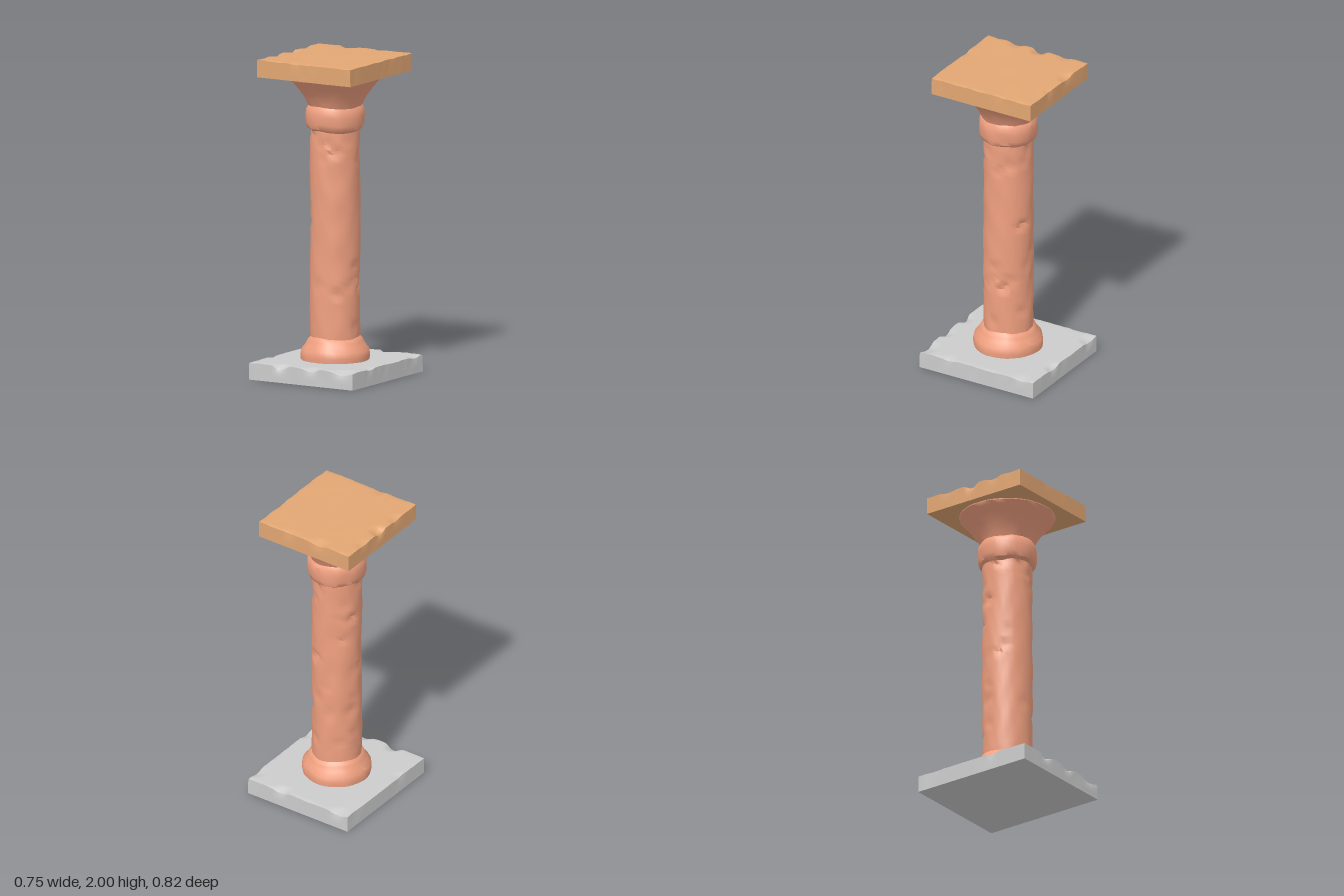
import * as THREE from 'three';
import { mergeVertices, toCreasedNormals } from 'three/addons/utils/BufferGeometryUtils.js';

// Small seeded random source
function seeded(seed) {
  let s = seed;
  return () => (s = (s * 16807) % 2147483647) / 2147483647;
}

// Smooth, repeatable unevenness in about -1..1
function noise(x, y, z) {
  return 0.5 * Math.sin(9 * x + 5 * y + 2 * Math.sin(7 * z)) +
    0.3 * Math.sin(17 * y - 13 * z + 2 * Math.sin(11 * x)) +
    0.2 * Math.sin(31 * z + 23 * x + 19 * y);
}

// Weld the vertices, move each by a rule, then shade with kept hard edges
function sculpt(geometry, rule, crease) {
  geometry.deleteAttribute('normal');
  geometry.deleteAttribute('uv');
  const welded = mergeVertices(geometry, 1e-4);
  const pos = welded.attributes.position;
  const v = new THREE.Vector3();
  for (let i = 0; i < pos.count; i++) {
    rule(v.fromBufferAttribute(pos, i));
    pos.setXYZ(i, v.x, v.y, v.z);
  }
  return toCreasedNormals(welded, crease);
}

// Stone slab whose upper rim is worn and chipped; chips are [x, z, radius, depth]
function slab(name, color, [x0, x1], [y0, y1], [z0, z1], chips) {
  const w = x1 - x0, h = y1 - y0, d = z1 - z0;
  const geometry = new THREE.BoxGeometry(w, h, d, 44, 4, 44);
  geometry.translate((x0 + x1) / 2, (y0 + y1) / 2, (z0 + z1) / 2);
  const rule = (v) => {
    const { x, y, z } = v;
    const t = (y - y0) / h;
    const edge = Math.min(x - x0, x1 - x, z - z0, z1 - z);
    const wear = 0.004 * Math.max(0, noise(x * 2, y, z * 2)) * t;
    // Worn sides
    if (x - x0 < 1e-4) v.x += wear;
    if (x1 - x < 1e-4) v.x -= wear;
    if (z - z0 < 1e-4) v.z += wear;
    if (z1 - z < 1e-4) v.z -= wear;
    // Worn top rim and gentle waviness
    if (t > 0.99) {
      v.y -= 0.001 * (1 + noise(x, 0, z));
      if (edge < 0.01) v.y -= 0.003 * (1 + noise(x * 3, 1, z * 3));
    }
    // Chips cut into the top and bevel the sides
    for (const [cx, cz, r, depth] of chips) {
      const k = 1 - Math.hypot(x - cx, z - cz) / r;
      if (k <= 0 || t < 0.5) continue;
      v.y -= depth * Math.min(1, k * 1.6) * (t - 0.5) * 2;
      if (edge < 1e-4) {
        const pull = depth * 0.5 * k * (t - 0.5) * 2;
        if (x - x0 < 1e-4) v.x += pull;
        if (x1 - x < 1e-4) v.x -= pull;
        if (z - z0 < 1e-4) v.z += pull;
        if (z1 - z < 1e-4) v.z -= pull;
      }
    }
  };
  const mesh = new THREE.Mesh(sculpt(geometry, rule, 0.6),
    new THREE.MeshStandardMaterial({ color }));
  mesh.name = name;
  return mesh;
}

// Round column: foot moulding, rough shaft, collar and flared capital
function column() {
  const rows = [
    [0, 0.1], [0.213, 0.1], [0.217, 0.135], [0.212, 0.17], [0.188, 0.2],
    [0.176, 0.225], [0.168, 0.238], [0.154, 0.25],
  ];
  for (let i = 1; i < 48; i++) rows.push([0.155, 0.25 + i * 1.295 / 48]);
  rows.push([0.154, 1.545], [0.172, 1.56], [0.181, 1.59], [0.182, 1.64], [0.179, 1.68],
    [0.166, 1.7], [0.184, 1.74], [0.215, 1.785], [0.25, 1.83], [0.282, 1.865],
    [0.298, 1.885], [0.298, 1.892], [0, 1.892]);
  const geometry = new THREE.LatheGeometry(rows.map(([r, y]) => new THREE.Vector2(r, y)), 40);

  // Scattered shallow nicks over the shaft
  const rand = seeded(71);
  const nicks = Array.from({ length: 46 }, () => ({
    a: rand() * Math.PI * 2, y: 0.22 + rand() * 1.42,
    w: 0.025 + rand() * 0.045, h: 0.018 + rand() * 0.035, depth: 0.004 + rand() * 0.008,
  }));
  const rule = (v) => {
    const r = Math.hypot(v.x, v.z);
    if (r > 0.01) {
      const a = Math.atan2(v.z, v.x);
      let offset = 0.004 * noise(v.x * 3, v.y * 1.3, v.z * 3);
      for (const n of nicks) {
        const da = Math.atan2(Math.sin(a - n.a), Math.cos(a - n.a)) * r;
        const k = 1 - Math.hypot(da / n.w, (v.y - n.y + da * 0.3) / n.h);
        if (k > 0) offset -= n.depth * Math.min(1, k * 2);
      }
      const scale = (r + offset) / r;
      v.x *= scale;
      v.z *= scale;
      // Uneven moulding lines
      if (v.y > 0.15 && v.y < 1.75) v.y += 0.006 * noise(v.x * 2, 0, v.z * 2);
    }
    v.x -= 0.006;
  };
  const mesh = new THREE.Mesh(sculpt(geometry, rule, 0.65),
    new THREE.MeshStandardMaterial({ color: 0xf0a080 }));
  mesh.name = 'column';
  return mesh;
}

export function createModel() {
  const group = new THREE.Group();
  group.name = 'pillar';
  group.add(
    slab('basePlinth', 0xcccccc, [-0.377, 0.377], [0, 0.109], [-0.41, 0.41], [
      [-0.15, 0.41, 0.06, 0.022], [0.07, 0.41, 0.06, 0.016], [0.3, 0.41, 0.09, 0.018],
      [-0.3, -0.41, 0.07, 0.014], [0.13, -0.41, 0.06, 0.016],
      [0.377, -0.32, 0.06, 0.01], [0.377, 0.2, 0.05, 0.008], [-0.377, 0.15, 0.05, 0.007],
    ]),
    column(),
    slab('topSlab', 0xe2a673, [-0.353, 0.326], [1.89, 2.001], [-0.361, 0.356], [
      [-0.34, -0.02, 0.055, 0.022], [-0.353, 0.15, 0.06, 0.01], [-0.353, -0.2, 0.06, 0.008],
      [-0.12, -0.361, 0.07, 0.014], [0.1, -0.361, 0.04, 0.007], [-0.08, 0.356, 0.05, 0.006],
    ]),
  );
  return group;
}
